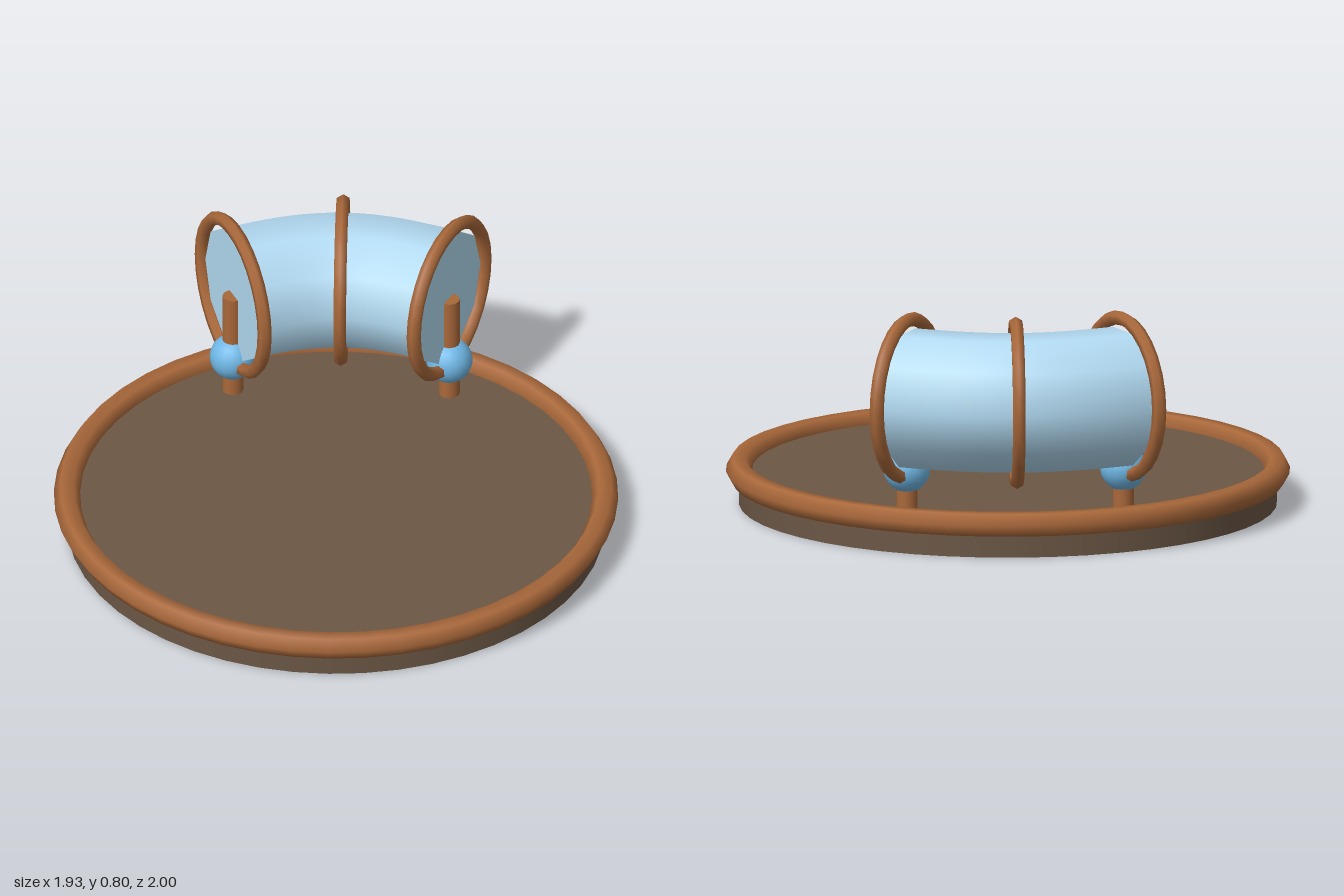
import * as THREE from 'three';
import { ParametricGeometry } from 'three/addons/geometries/ParametricGeometry.js';

const paint = (color, extra = {}) => new THREE.MeshStandardMaterial({ color, ...extra });

export function createModel() {
  const model = new THREE.Group();
  const wood = paint(0xa9683a);
  const earth = paint(0x6b5745);
  const glass = paint(0xb2daf2, { side: THREE.DoubleSide });
  const bead = paint(0x70b8e6);

  const add = (name, geometry, material, x, y, z) => {
    const mesh = new THREE.Mesh(geometry, material);
    mesh.name = name;
    mesh.position.set(x, y, z);
    model.add(mesh);
    return mesh;
  };

  // Round base with a hexagonal-section rim around its top edge
  const baseZ = 0.035, baseTop = 0.117;
  add('base', new THREE.CylinderGeometry(0.92, 0.92, baseTop, 48), earth, 0, baseTop / 2, baseZ);
  add('rim', new THREE.TorusGeometry(0.92, 0.045, 6, 48), wood, 0, baseTop, baseZ).rotation.x = Math.PI / 2;

  // Centre line of the curved tunnel, t from -1 (right end) to 1 (left end)
  const halfLength = 0.369, axisY = 0.503, radius = 0.24, sides = 10;
  const centre = (t) => new THREE.Vector3(halfLength * t, axisY, -0.7055 + 0.114 * t ** 2 - 0.014 * t ** 4);
  const heading = (t) => Math.atan2(0.228 * t - 0.056 * t ** 3, halfLength);

  // Ten-sided tunnel swept along the centre line
  const tunnel = new ParametricGeometry((u, v, target) => {
    const t = v * 2 - 1, a = u * Math.PI * 2, h = heading(t);
    const out = radius * Math.cos(a);
    target.copy(centre(t));
    target.x += out * Math.sin(h);
    target.z -= out * Math.cos(h);
    target.y += radius * Math.sin(a);
  }, sides, 24);
  add('tunnel', tunnel, glass, 0, 0, 0);

  // Hoops around both ends and the middle
  for (const t of [-1, 0, 1]) {
    const p = centre(t);
    const hoop = add('hoop', new THREE.TorusGeometry(0.27, 0.0245, 6, 28), wood, p.x, p.y, p.z);
    hoop.rotation.y = Math.PI / 2 - heading(t);
  }

  // End panels, posts and beads, mirrored left and right
  for (const side of [-1, 1]) {
    const p = centre(side);
    const panel = add('endPanel', new THREE.CircleGeometry(radius, sides), glass, p.x, p.y, p.z);
    panel.rotation.y = side * Math.PI / 2 - heading(side);
    const postHeight = axisY - baseTop;
    add('post', new THREE.CylinderGeometry(0.036, 0.036, postHeight, 12), wood, side * 0.37, baseTop + postHeight / 2, -0.6);
    add('bead', new THREE.SphereGeometry(0.08, 16, 12), bead, side * 0.37, 0.253, -0.6);
  }
  return model;
}
